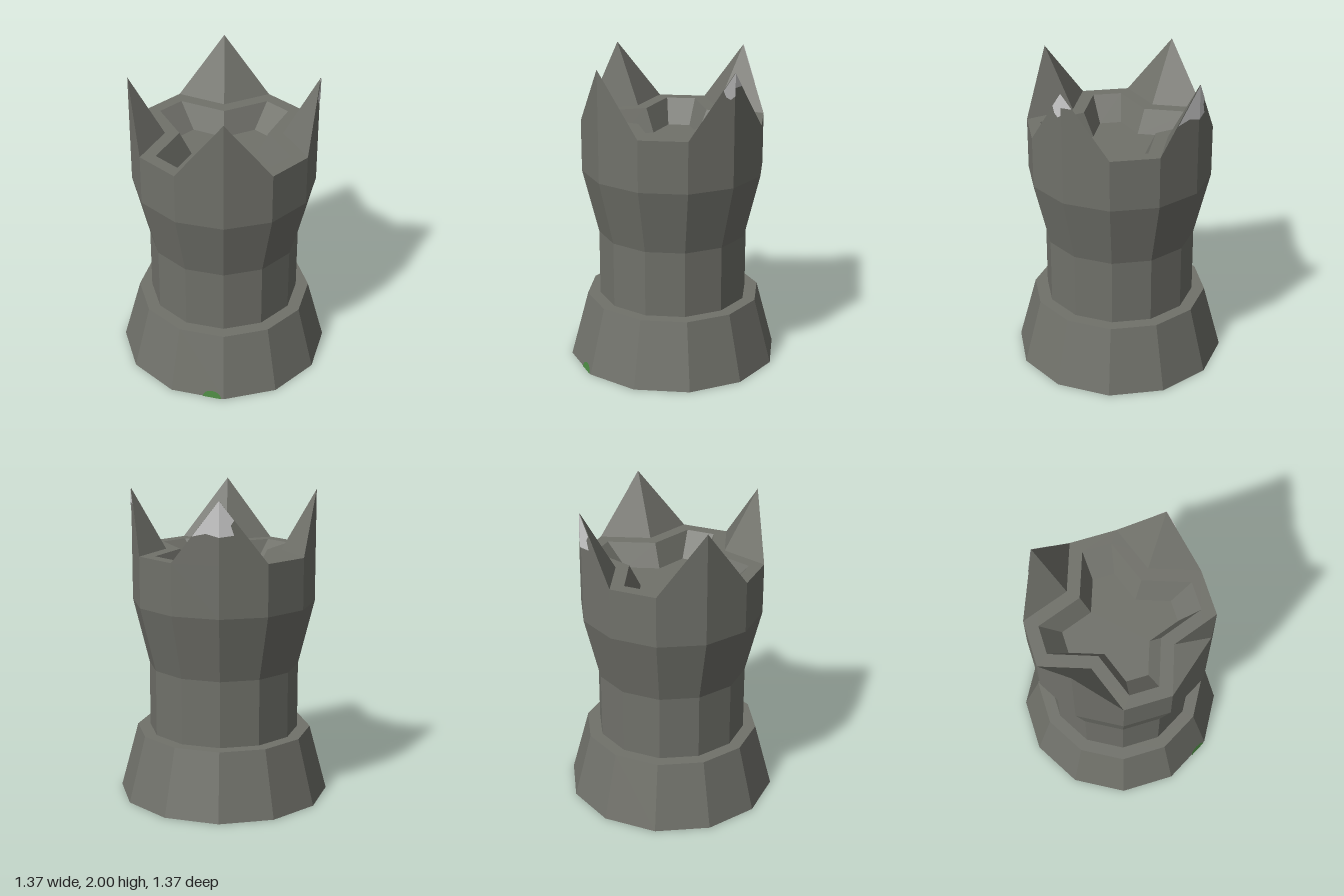
import * as THREE from 'three';

const stone = new THREE.MeshStandardMaterial({ color: 0x70716a, flatShading: true });
const paleStone = new THREE.MeshStandardMaterial({ color: 0xcfcfcf, flatShading: true, side: THREE.DoubleSide });
const moss = new THREE.MeshStandardMaterial({ color: 0x4a8540, flatShading: true, side: THREE.DoubleSide });

const SIDES = 12;
const TOP = 1.61;
const FLOOR = 1.46;
const BEND = Math.tan(Math.PI / 12); // how fast a facet falls back from its corner

function part(name, geometry, material) {
  const g = geometry.index ? geometry.toNonIndexed() : geometry;
  g.computeVertexNormals();
  const mesh = new THREE.Mesh(g, material);
  mesh.name = name;
  return mesh;
}

function triangles(corners) {
  const g = new THREE.BufferGeometry();
  g.setAttribute('position', new THREE.Float32BufferAttribute(corners.flat(), 3));
  return g;
}

const lathe = (profile) =>
  new THREE.LatheGeometry(profile.map(([r, y]) => new THREE.Vector2(r, y)), SIDES);

const outline = (points) => points.map(([x, y]) => new THREE.Vector2(x, y));

// Four-armed star outline: notch on each axis, two corners on each diagonal
function star(notch, far, near) {
  const loop = [];
  for (let k = 0; k < 4; k++) {
    const c = Math.round(Math.cos((k * Math.PI) / 2));
    const s = Math.round(Math.sin((k * Math.PI) / 2));
    for (const [x, y] of [[notch, 0], [far, near], [near, far]]) loop.push([x * c - y * s, x * s + y * c]);
  }
  return loop;
}

// Thin painted fan lying on the two facets that meet at the given angle
function patch(name, points, radius, angle, material) {
  const v = points.map(([w, y]) => [w, y, radius(y) - BEND * Math.abs(w) + 0.004]);
  const corners = [];
  for (let i = 1; i < v.length - 1; i++) corners.push(v[0], v[i], v[i + 1]);
  const g = triangles(corners);
  g.rotateY(angle);
  return part(name, g, material);
}

// Flat painted plate on the underside, outline given as x, z
function underPlate(name, points, material) {
  const g = new THREE.ShapeGeometry(new THREE.Shape(outline(points)));
  g.rotateX(Math.PI / 2);
  return part(name, g, material);
}

export function createModel() {
  const model = new THREE.Group();
  model.name = 'crownedTower';

  // Flared foot with a small ledge, then the shaft and head
  model.add(part('base', lathe([[0, 0.004], [0.683, 0.004], [0.685, 0], [0.57, 0.43], [0.48, 0.43]]), stone));
  model.add(part('shaft', lathe([[0.487, 0.43], [0.487, 0.86], [0.59, 1.28], [0.59, TOP]]), stone));

  // Top rim pierced by the star-shaped well
  const ring = [];
  for (let i = 0; i < SIDES; i++) {
    const a = (i * 2 * Math.PI) / SIDES;
    ring.push([0.59 * Math.cos(a), 0.59 * Math.sin(a)]);
  }
  const upper = star(0.28, 0.413, 0.28);
  const lower = star(0.205, 0.3, 0.2);
  const rimShape = new THREE.Shape(outline(ring));
  rimShape.holes.push(new THREE.Path(outline(upper)));
  const rim = new THREE.ShapeGeometry(rimShape);
  rim.rotateX(-Math.PI / 2);
  rim.translate(0, TOP, 0);
  model.add(part('rim', rim, stone));

  // Sloping well walls and floor
  const walls = [];
  for (let i = 0; i < upper.length; i++) {
    const j = (i + 1) % upper.length;
    const t = (k) => [upper[k][0], TOP, upper[k][1]];
    const b = (k) => [lower[k][0], FLOOR, lower[k][1]];
    walls.push(t(i), b(i), t(j), t(j), b(i), b(j));
  }
  model.add(part('wellWalls', triangles(walls), stone));
  const floor = new THREE.ShapeGeometry(new THREE.Shape(outline(lower)));
  floor.rotateX(-Math.PI / 2);
  floor.translate(0, FLOOR, 0);
  model.add(part('wellFloor', floor, stone));

  // Four crown spikes
  const A = [0, 2, 0.59], O = [0, TOP, 0.59], I = [0, TOP, 0.37];
  const L = [-0.295, TOP, 0.511], R = [0.295, TOP, 0.511];
  for (let k = 0; k < 4; k++) {
    const spike = part('crownSpike', triangles([O, R, A, L, O, A, R, I, A, I, L, A]), stone);
    spike.rotation.y = (k * Math.PI) / 2;
    model.add(spike);
  }

  // Pale worn tips on the left and back spikes
  const headRadius = () => 0.59;
  model.add(patch('leftTipWear',
    [[0, 2], [-0.076, 1.9], [-0.06, 1.86], [-0.03, 1.84], [0, 1.86], [0, 1.91], [0.068, 1.91]],
    headRadius, Math.PI / 2, paleStone));
  model.add(patch('backTipWear',
    [[0, 2], [-0.165, 1.78], [-0.08, 1.8], [0, 1.78], [0.09, 1.79], [0.07, 1.85], [0.09, 1.88]],
    headRadius, Math.PI, paleStone));

  // Moss creeping up the front of the foot
  const spot = [[-0.075, 0]];
  for (let i = 0; i <= 8; i++) {
    const a = (i * Math.PI) / 8;
    spot.push([-0.075 + 0.06 * Math.cos(a), 0.047 * Math.sin(a)]);
  }
  model.add(patch('mossSpot', spot, (y) => 0.685 - 0.267 * y, 0, moss));

  // Patches on the underside
  model.add(underPlate('undersideMoss', [
    [-0.1, 0.655], [0.025, 0.477], [0.106, 0.292], [0.185, 0.139], [0.276, 0.131], [0.349, 0.024],
    [0.39, -0.145], [0.419, -0.338], [0.435, -0.497], [0.342, -0.593], [0.24, -0.62], [0.182, -0.455],
    [0.187, -0.282], [0.064, -0.385], [0.057, -0.575], [0, -0.685], [-0.342, -0.593], [-0.593, -0.342],
    [-0.685, 0], [-0.593, 0.342], [-0.342, 0.593],
  ], moss));
  model.add(underPlate('undersideWear', [
    [0.593, 0.342], [0.66, 0.08], [0.57, 0.058], [0.436, 0.148], [0.358, 0.082], [0.232, 0.162],
    [0.13, 0.363], [0.207, 0.411], [0.1, 0.557], [0.011, 0.68], [0.342, 0.593],
  ], paleStone));

  return model;
}
